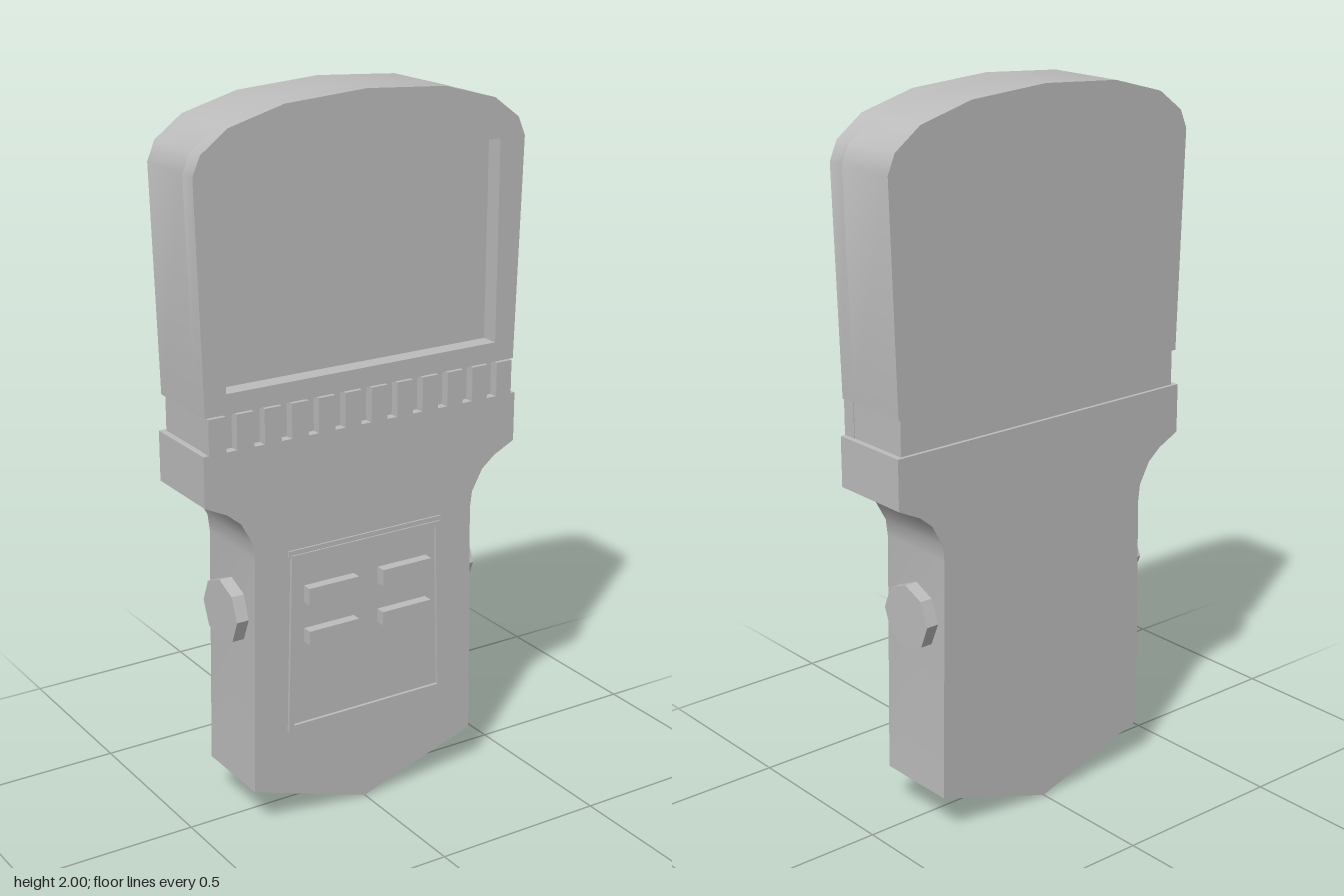
import * as THREE from 'three';
import { toCreasedNormals } from 'three/addons/utils/BufferGeometryUtils.js';

const grey = new THREE.MeshStandardMaterial({ color: 0xbcbcbc });
grey.name = 'plain grey';

function add(parent, name, geometry, x = 0, y = 0, z = 0) {
  const mesh = new THREE.Mesh(geometry, grey);
  mesh.name = name;
  mesh.position.set(x, y, z);
  parent.add(mesh);
  return mesh;
}

const toShape = (pts) => new THREE.Shape(pts.map(([x, y]) => new THREE.Vector2(x, y)));

// Closes a right-hand outline (listed bottom to top) with its mirror image
function mirrored(half) {
  const left = half.filter(([x]) => x > 0).map(([x, y]) => [-x, y]).reverse();
  return toShape([...half, ...left]);
}

// Extrudes a shape between two depths, smoothing only the gentle corners
function slab(shape, back, front) {
  const g = new THREE.ExtrudeGeometry(shape, { depth: front - back, bevelEnabled: false });
  g.translate(0, 0, back);
  return toCreasedNormals(g, 0.6);
}

export function createModel() {
  const model = new THREE.Group();
  model.name = 'handheldScanner';

  // Screen head with a rounded top and a sunken screen
  const headOutline = [
    [0.482, 1.215], [0.5, 1.83], [0.478, 1.882], [0.4, 1.94], [0.24, 1.984], [0, 2],
  ];
  const headFront = mirrored(headOutline);
  headFront.holes.push(new THREE.Path([
    [-0.42, 1.27], [-0.42, 1.83], [0.42, 1.83], [0.42, 1.27],
  ].map(([x, y]) => new THREE.Vector2(x, y))));
  add(model, 'headBack', slab(mirrored(headOutline), -0.13, 0.055));
  add(model, 'screenBezel', slab(headFront, 0.055, 0.106));

  // Ribbed band between head and handle
  add(model, 'band', new THREE.BoxGeometry(0.946, 0.112, 0.208), 0, 1.164, -0.021);
  const ribs = new THREE.Group();
  ribs.name = 'bandRibs';
  model.add(ribs);
  const ribCount = 12;
  const ribWidth = 0.05;
  for (let i = 0; i < ribCount; i++) {
    const x = (i / (ribCount - 1) - 0.5) * (0.95 - ribWidth);
    add(ribs, 'rib', new THREE.BoxGeometry(ribWidth, 0.098, 0.04), x, 1.163, 0.09);
  }

  // Handle with flared shoulders and a pointed foot
  add(model, 'handle', slab(mirrored([
    [0, 0], [0.358, 0.117], [0.346, 0.8], [0.352, 0.85], [0.385, 0.91],
    [0.425, 0.943], [0.49, 0.975], [0.49, 1.115], [0, 1.115],
  ]), -0.135, 0.108));

  // Thin raised frame around the keypad
  const frame = toShape([[-0.252, 0.274], [0.255, 0.274], [0.238, 0.79], [-0.238, 0.79]]);
  frame.holes.push(new THREE.Path([
    [-0.236, 0.29], [-0.224, 0.78], [0.224, 0.78], [0.239, 0.29],
  ].map(([x, y]) => new THREE.Vector2(x, y))));
  add(model, 'keypadFrame', slab(frame, 0.1, 0.117));
  add(model, 'keypadTopLip', new THREE.BoxGeometry(0.49, 0.02, 0.01), 0, 0.793, 0.108);

  // Four keys
  for (const side of [-1, 1]) {
    add(model, 'upperKey', new THREE.BoxGeometry(0.158, 0.048, 0.036), side * 0.118, 0.67, 0.119);
    add(model, 'lowerKey', new THREE.BoxGeometry(0.158, 0.04, 0.036), side * 0.118, 0.549, 0.119);
  }

  // Octagonal side knobs
  for (const side of [-1, 1]) {
    const knob = new THREE.CylinderGeometry(0.092, 0.092, 0.05, 8).toNonIndexed();
    knob.computeVertexNormals();
    knob.rotateZ(Math.PI / 2);
    add(model, side > 0 ? 'leftKnob' : 'rightKnob', knob, side * 0.36, 0.617, -0.016);
  }

  return model;
}
